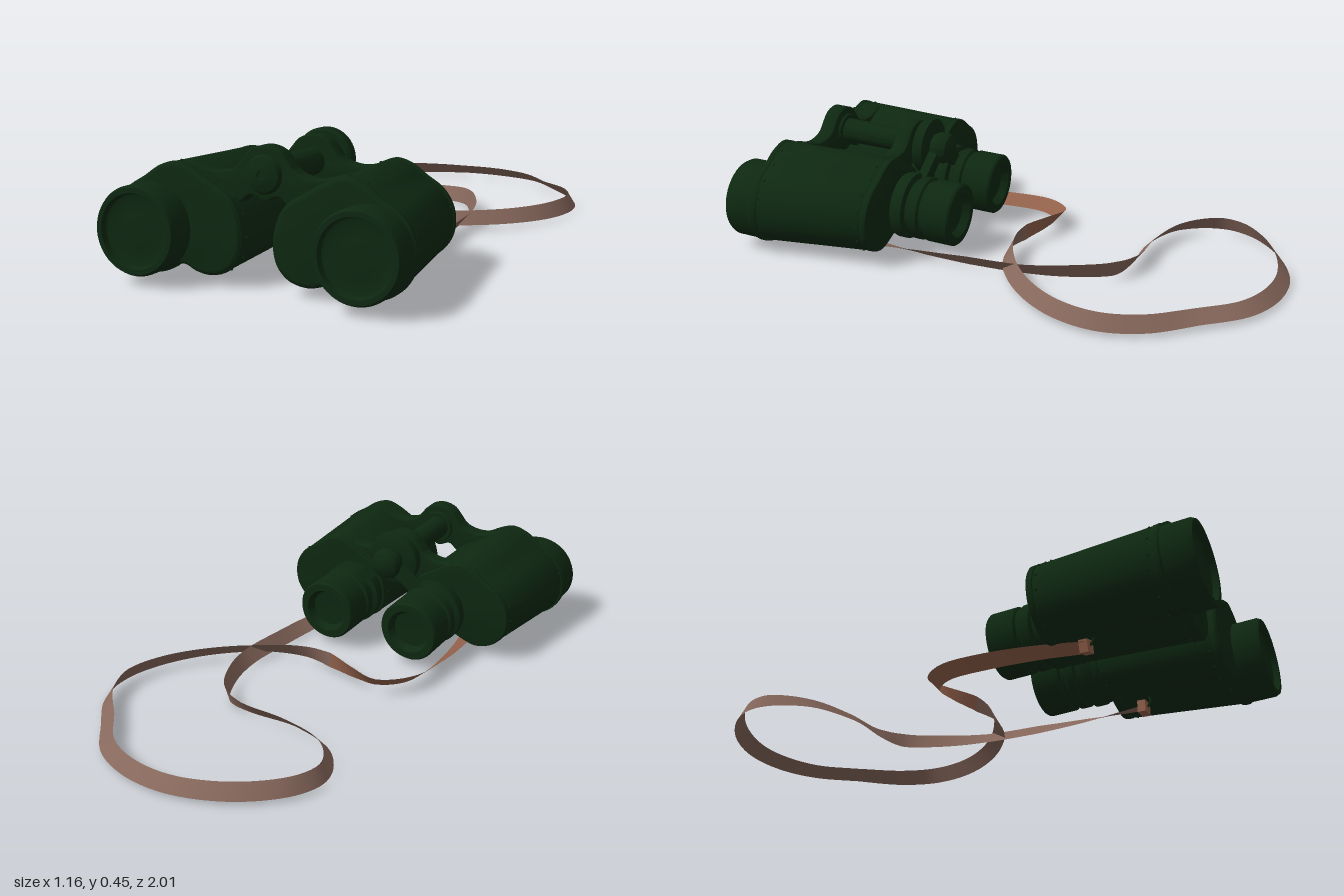
import * as THREE from 'three';
import { toCreasedNormals } from 'three/addons/utils/BufferGeometryUtils.js';

const material = (name, color, side = THREE.FrontSide) => {
  const m = new THREE.MeshStandardMaterial({ color, side });
  m.name = name;
  return m;
};

export function createModel() {
  const green = material('dark green', 0x0e2811);
  const tan = material('tan leather', 0x91604a, THREE.DoubleSide);
  const brown = material('grey brown leather', 0x86675b, THREE.DoubleSide);

  const model = new THREE.Group();
  model.name = 'binoculars';
  const add = (parent, name, geometry, mat, x = 0, y = 0, z = 0) => {
    const mesh = new THREE.Mesh(geometry, mat);
    mesh.name = name;
    mesh.position.set(x, y, z);
    parent.add(mesh);
    return mesh;
  };

  // Turned part around the z axis; profile is [radius, z] from rear to front
  const turned = (profile, segments = 48) => toCreasedNormals(
    new THREE.LatheGeometry(profile.map(([r, z]) => new THREE.Vector2(r, z)), segments).rotateX(Math.PI / 2), 0.6);
  const smoothLoop = (pts, n) => new THREE.CatmullRomCurve3(
    pts.map(([x, y]) => new THREE.Vector3(x, y, 0)), true, 'centripetal').getPoints(n);
  const extruded = (outline, z0, z1, bevel) => new THREE.ExtrudeGeometry(
    new THREE.Shape(outline.map(p => new THREE.Vector2(p.x, p.y))), {
      depth: z1 - z0 - 2 * bevel, bevelThickness: bevel, bevelSize: bevel, bevelOffset: -bevel, bevelSegments: 3,
    }).translate(0, 0, z0 + bevel);

  // Optical body leans back slightly about its front end
  const lean = new THREE.Group();
  lean.name = 'opticalBody';
  lean.position.set(-0.053, 0.18, 0.9);
  lean.rotation.x = -0.055;
  model.add(lean);
  const body = new THREE.Group();
  body.name = 'bodyParts';
  body.position.set(0, -0.18, -0.9);
  lean.add(body);

  const section = [
    [0.525, 0.17], [0.515, 0.235], [0.475, 0.295], [0.41, 0.338], [0.355, 0.375], [0.295, 0.392], [0.24, 0.375],
    [0.17, 0.335], [0.10, 0.29], [0.07, 0.24], [0.056, 0.165], [0.07, 0.10], [0.11, 0.058], [0.17, 0.042],
    [0.22, 0.05], [0.265, 0.068], [0.31, 0.05], [0.38, 0.03], [0.46, 0.055], [0.51, 0.11],
  ];
  // Housing narrows toward the eyepieces, keeping its upper inner corner fixed
  const taper = z => 1 - 0.1 * (0.89 - z) / 0.45;
  const applyTaper = (geometry, side) => {
    const p = geometry.attributes.position;
    for (let i = 0; i < p.count; i++) {
      const k = taper(p.getZ(i));
      p.setXY(i, side * 0.073 + (p.getX(i) - side * 0.073) * k, 0.39 + (p.getY(i) - 0.39) * k);
    }
    return toCreasedNormals(geometry, 0.6);
  };

  const objective = turned([[0, 0.86], [0.148, 0.86], [0.15, 0.868], [0.15, 0.885], [0.145, 0.892], [0.145, 0.98],
    [0.138, 0.993], [0.122, 0.993], [0.118, 0.972], [0.11, 0.968], [0.06, 0.973], [0, 0.975]], 64);
  const eyepiece = turned([[0, 0.225], [0.07, 0.22], [0.085, 0.192], [0.112, 0.192], [0.118, 0.2], [0.118, 0.295],
    [0.109, 0.302], [0.109, 0.315], [0.118, 0.322], [0.118, 0.352], [0.106, 0.36], [0.106, 0.372], [0.124, 0.38],
    [0.124, 0.415], [0.118, 0.425], [0.118, 0.47], [0, 0.47]], 56);
  const rivet = new THREE.SphereGeometry(0.005, 6, 4);

  for (const side of [1, -1]) {
    const label = side > 0 ? 'left' : 'right';
    const loop = smoothLoop(section.map(([x, y]) => [x * side, y]), 100).slice(0, -1);
    add(body, label + 'Housing', applyTaper(extruded(loop, 0.445, 0.895, 0.014), side), green);

    // Rear cover plate and front rim stand slightly proud
    const rim = (grow) => loop.map(p => new THREE.Vector2(
      side * 0.27 + (p.x - side * 0.27) * grow, 0.2 + (p.y - 0.2) * grow));
    add(body, label + 'RearCover', applyTaper(extruded(rim(1.012), 0.428, 0.452, 0.005), side), green);
    add(body, label + 'FrontRim', applyTaper(extruded(rim(1.01), 0.866, 0.888, 0.005), side), green);
    for (const z of [0.465, 0.853]) {
      for (let i = 0; i < loop.length; i += 5) {
        const k = taper(z);
        add(body, label + 'Rivet', rivet, green,
          side * 0.073 + (loop[i].x - side * 0.073) * k, 0.39 + (loop[i].y - 0.39) * k, z);
      }
    }
    add(body, label + 'Objective', objective, green, side * 0.38, 0.178, 0);
    add(body, label + 'Eyepiece', eyepiece, green, side * 0.183, 0.19, 0);

    // Arm from the focus shaft to the eyepiece collar
    const arm = add(body, label + 'EyepieceArm', new THREE.BoxGeometry(0.17, 0.05, 0.035), green, side * 0.08, 0.315, 0.375);
    arm.rotation.z = -side * 0.65;
  }

  // Hinge arms wrap the central shaft and blend into both housings
  const half = [[0.05, 0.446], [0.08, 0.414], [0.105, 0.385], [0.145, 0.37], [0.19, 0.368], [0.235, 0.38],
    [0.275, 0.39], [0.27, 0.35], [0.2, 0.30], [0.12, 0.27], [0.085, 0.275], [0.05, 0.302]];
  const armLoop = smoothLoop([[0, 0.46], ...half, [0, 0.285],
    ...half.slice().reverse().map(([x, y]) => [-x, y])], 100).slice(0, -1);
  for (const [name, z0, z1] of [['rearHingeArm', 0.462, 0.522], ['frontHingeArm', 0.785, 0.845]])
    add(body, name, toCreasedNormals(extruded(armLoop, z0, z1, 0.006), 0.6), green);

  // Central shaft, front cap and focus wheel
  add(body, 'hingeShaft', turned([[0, 0.39], [0.046, 0.39], [0.046, 0.8], [0, 0.8]]), green, 0, 0.37);
  add(body, 'hingeCap', turned([[0, 0.775], [0.06, 0.775], [0.063, 0.78], [0.063, 0.845], [0.055, 0.858],
    [0.03, 0.866], [0.014, 0.868], [0.012, 0.863], [0, 0.863]]), green, 0, 0.37);
  add(body, 'focusWheel', turned([[0, 0.395], [0.09, 0.395], [0.104, 0.402], [0.104, 0.436], [0.095, 0.445],
    [0, 0.445]]), green, 0, 0.37);
  add(body, 'focusKnob', turned([[0, 0.314], [0.03, 0.317], [0.052, 0.33], [0.06, 0.35], [0.058, 0.375],
    [0.045, 0.4], [0, 0.4]]), green, 0, 0.37);

  // Strap path: [x, y, z, bank in degrees]
  const path = [
    [-0.325, 0.035, 0.55, -15], [-0.35, 0.04, 0.4, -25], [-0.36, 0.045, 0.2, -40], [-0.335, 0.05, 0.03, -45],
    [-0.25, 0.055, -0.06, -45], [-0.15, 0.06, -0.05, -65], [-0.02, 0.06, -0.01, -88], [0.1, 0.06, 0, -65],
    [0.25, 0.055, -0.05, -48], [0.42, 0.05, -0.18, -52], [0.53, 0.047, -0.34, -60], [0.565, 0.047, -0.5, -65],
    [0.52, 0.045, -0.64, -55], [0.4, 0.042, -0.78, -38], [0.28, 0.04, -0.91, -38], [0.13, 0.038, -0.972, -42],
    [-0.05, 0.038, -0.976, -42], [-0.25, 0.042, -0.9, -55], [-0.39, 0.047, -0.77, -65], [-0.415, 0.048, -0.66, -65],
    [-0.33, 0.047, -0.53, -50], [-0.15, 0.046, -0.465, -45], [0.05, 0.048, -0.46, -55], [0.155, 0.05, -0.42, -75],
    [0.235, 0.05, -0.28, -65], [0.272, 0.046, -0.12, -52], [0.268, 0.04, 0.1, -50], [0.255, 0.035, 0.3, -35],
    [0.235, 0.03, 0.45, -15], [0.225, 0.03, 0.55, -5],
  ];
  const curve = new THREE.CatmullRomCurve3(path.map(([x, y, z]) => new THREE.Vector3(x, y, z)));
  const up = new THREE.Vector3(0, 1, 0);
  const ribbon = (from, to, steps) => {
    const pos = [], index = [];
    for (let i = 0; i <= steps; i++) {
      const t = from + (to - from) * i / steps;
      const f = t * (path.length - 1), k = Math.min(Math.floor(f), path.length - 2);
      const bank = THREE.MathUtils.degToRad(THREE.MathUtils.lerp(path[k][3], path[k + 1][3], f - k));
      const across = curve.getTangent(t).cross(up).normalize()
        .multiplyScalar(Math.cos(bank)).addScaledVector(up, Math.sin(bank));
      const c = curve.getPoint(t);
      for (const w of [-0.031, 0.031]) pos.push(...c.clone().addScaledVector(across, w).toArray());
      const a = 2 * i;
      if (i < steps) index.push(a, a + 1, a + 2, a + 1, a + 3, a + 2);
    }
    const g = new THREE.BufferGeometry();
    g.setAttribute('position', new THREE.Float32BufferAttribute(pos, 3));
    g.setIndex(index);
    g.computeVertexNormals();
    return g;
  };
  const twist = 6 / (path.length - 1);
  add(model, 'strapEnd', ribbon(0, twist, 48), tan);
  add(model, 'strapLoop', ribbon(twist, 1, 184), brown);

  // Strap keepers folded round the lugs under each housing
  for (const [name, x, y, roll] of [['rightStrapKeeper', -0.325, 0.038, 0.25], ['leftStrapKeeper', 0.222, 0.028, 0]]) {
    const keeper = add(model, name, new THREE.BoxGeometry(0.054, 0.044, 0.03), tan, x, y, 0.545);
    keeper.rotation.z = roll;
    const lug = add(model, name.replace('Keeper', 'Lug'), new THREE.TorusGeometry(0.022, 0.005, 8, 20), green, x, y + 0.025, 0.55);
    lug.rotation.y = Math.PI / 2;
  }
  return model;
}
